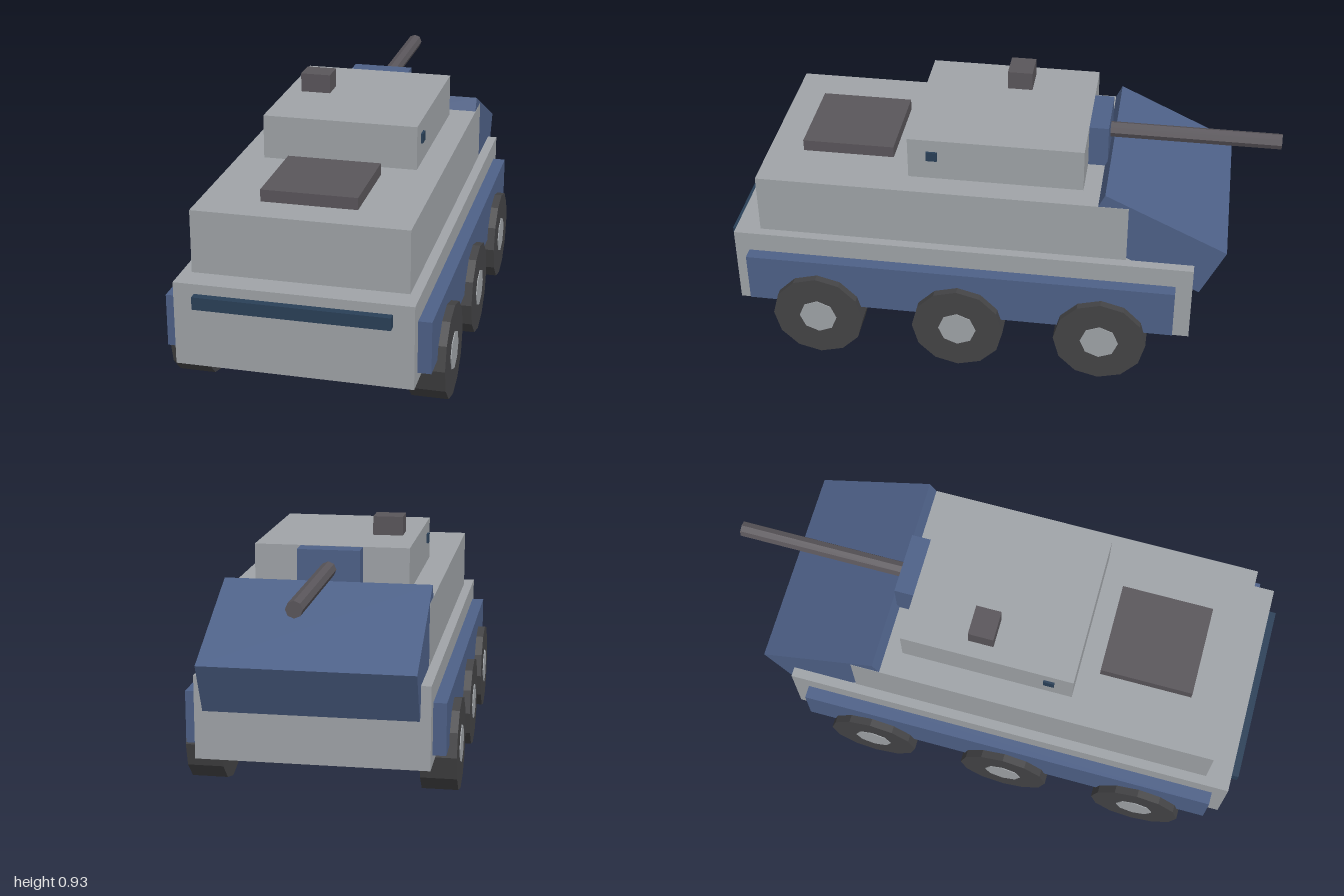
import * as THREE from 'three';

const mat = (color) => new THREE.MeshStandardMaterial({ color, flatShading: true });

export function createModel() {
  const model = new THREE.Group();
  model.name = 'armouredCar';
  const grey = mat(0xa0a4a8), blue = mat(0x4e6188), dark = mat(0x5a565b);
  const rubber = mat(0x444446), navy = mat(0x2a4058);

  const add = (name, geometry, material, x, y, z) => {
    const mesh = new THREE.Mesh(geometry, material);
    mesh.name = name;
    mesh.position.set(x, y, z);
    model.add(mesh);
    return mesh;
  };
  // Box given by its extents along each axis
  const box = (name, material, x0, x1, y0, y1, z0, z1) =>
    add(name, new THREE.BoxGeometry(x1 - x0, y1 - y0, z1 - z0), material,
      (x0 + x1) / 2, (y0 + y1) / 2, (z0 + z1) / 2);

  // Hull and turret
  box('lowerHull', grey, -0.411, 0.411, 0.172, 0.472, -0.72, 0.972);
  box('upperHull', grey, -0.376, 0.376, 0.472, 0.697, -0.475, 0.88);
  box('turret', grey, -0.282, 0.282, 0.697, 0.857, -0.305, 0.333);
  box('hatch', dark, -0.226, -0.115, 0.857, 0.927, -0.068, 0.025);
  box('engineCover', dark, -0.169, 0.169, 0.697, 0.74, 0.41, 0.75);
  box('lightBar', navy, -0.338, 0.338, 0.392, 0.437, 0.972, 1);

  // Sloped armour plate at the gun end
  const plate = add('slopedPlate', new THREE.BoxGeometry(0.75, 0.203, 0.488), blue, 0, 0.55, -0.567);
  plate.rotation.x = -0.443;

  // Gun
  box('gunMantlet', blue, -0.113, 0.113, 0.697, 0.856, -0.376, -0.305);
  const barrel = add('gunBarrel', new THREE.CylinderGeometry(0.029, 0.029, 0.65, 8), dark, 0, 0.786, -0.675);
  barrel.rotation.x = Math.PI / 2;

  // Mirrored side parts
  const tyre = new THREE.CylinderGeometry(0.17, 0.17, 0.131, 12);
  const hub = new THREE.CylinderGeometry(0.07, 0.07, 0.137, 8);
  for (const [side, s] of [['left', 1], ['right', -1]]) {
    add(side + 'Skirt', new THREE.BoxGeometry(0.047, 0.188, 1.58), blue, s * 0.4345, 0.303, 0.13);
    add(side + 'VisionBlock', new THREE.BoxGeometry(0.02, 0.036, 0.04), navy, s * 0.28, 0.792, 0.245);
    [0.656, 0.13, -0.397].forEach((z, i) => {
      add(side + 'Tyre' + (i + 1), tyre, rubber, s * 0.421, 0.17, z).rotation.z = Math.PI / 2;
      add(side + 'Hub' + (i + 1), hub, grey, s * 0.421, 0.17, z).rotation.z = Math.PI / 2;
    });
  }
  return model;
}
